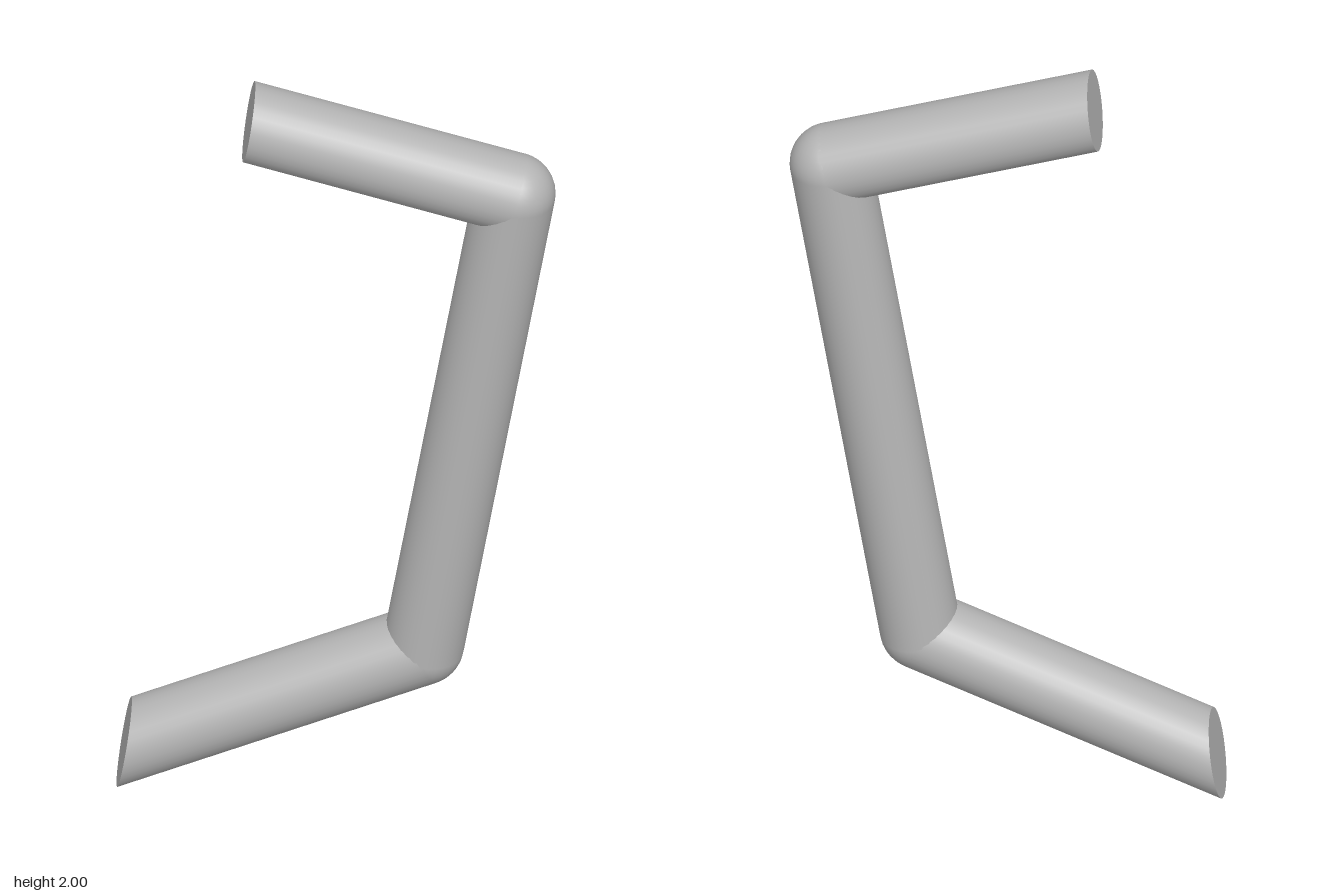
import * as THREE from 'three';

const R = 0.094;
const SIDES = 32;

export function createModel() {
  const group = new THREE.Group();
  group.name = 'bentHandle';
  const metal = new THREE.MeshStandardMaterial({ color: 0xb4b4b4 });
  metal.name = 'grey metal';

  // centre line of the rod
  const lowerEnd = new THREE.Vector3(-0.33, 0.11, 0.335);
  const lowerElbow = new THREE.Vector3(0.142, 0.405, -0.166);
  const upperElbow = new THREE.Vector3(0.301, 1.71, -0.306);
  const upperEnd = new THREE.Vector3(-0.11, 1.907, 0.147);
  const gripDir = upperElbow.clone().sub(lowerElbow).normalize();

  // straight rod from a to b
  function rod(name, a, b, open) {
    const dir = b.clone().sub(a);
    const geo = new THREE.CylinderGeometry(R, R, dir.length(), SIDES, 1, open);
    const mesh = new THREE.Mesh(geo, metal);
    mesh.name = name;
    mesh.position.copy(a).add(b).multiplyScalar(0.5);
    mesh.quaternion.setFromUnitVectors(new THREE.Vector3(0, 1, 0), dir.normalize());
    group.add(mesh);
    return mesh;
  }

  // arm whose free end is cut parallel to the grip
  function arm(name, elbow, end) {
    const mesh = rod(name, elbow, end, false);
    const dir = end.clone().sub(elbow);
    const half = dir.length() / 2;
    const cut = gripDir.clone().cross(dir).cross(gripDir).normalize();
    cut.applyQuaternion(mesh.quaternion.clone().invert());
    const pos = mesh.geometry.attributes.position;
    const nor = mesh.geometry.attributes.normal;
    for (let i = 0; i < pos.count; i++) {
      if (pos.getY(i) < 0) continue;
      pos.setY(i, half - (cut.x * pos.getX(i) + cut.z * pos.getZ(i)) / cut.y);
      if (nor.getY(i) > 0.9) nor.setXYZ(i, cut.x, cut.y, cut.z);
    }
  }

  rod('grip', lowerElbow, upperElbow, true);
  arm('lowerArm', lowerElbow, lowerEnd);
  arm('upperArm', upperElbow, upperEnd);

  // rounded elbows
  for (const [name, p] of [['lowerElbow', lowerElbow], ['upperElbow', upperElbow]]) {
    const ball = new THREE.Mesh(new THREE.SphereGeometry(R, SIDES, 20), metal);
    ball.name = name;
    ball.position.copy(p);
    ball.quaternion.setFromUnitVectors(new THREE.Vector3(0, 1, 0), gripDir);
    group.add(ball);
  }
  return group;
}
